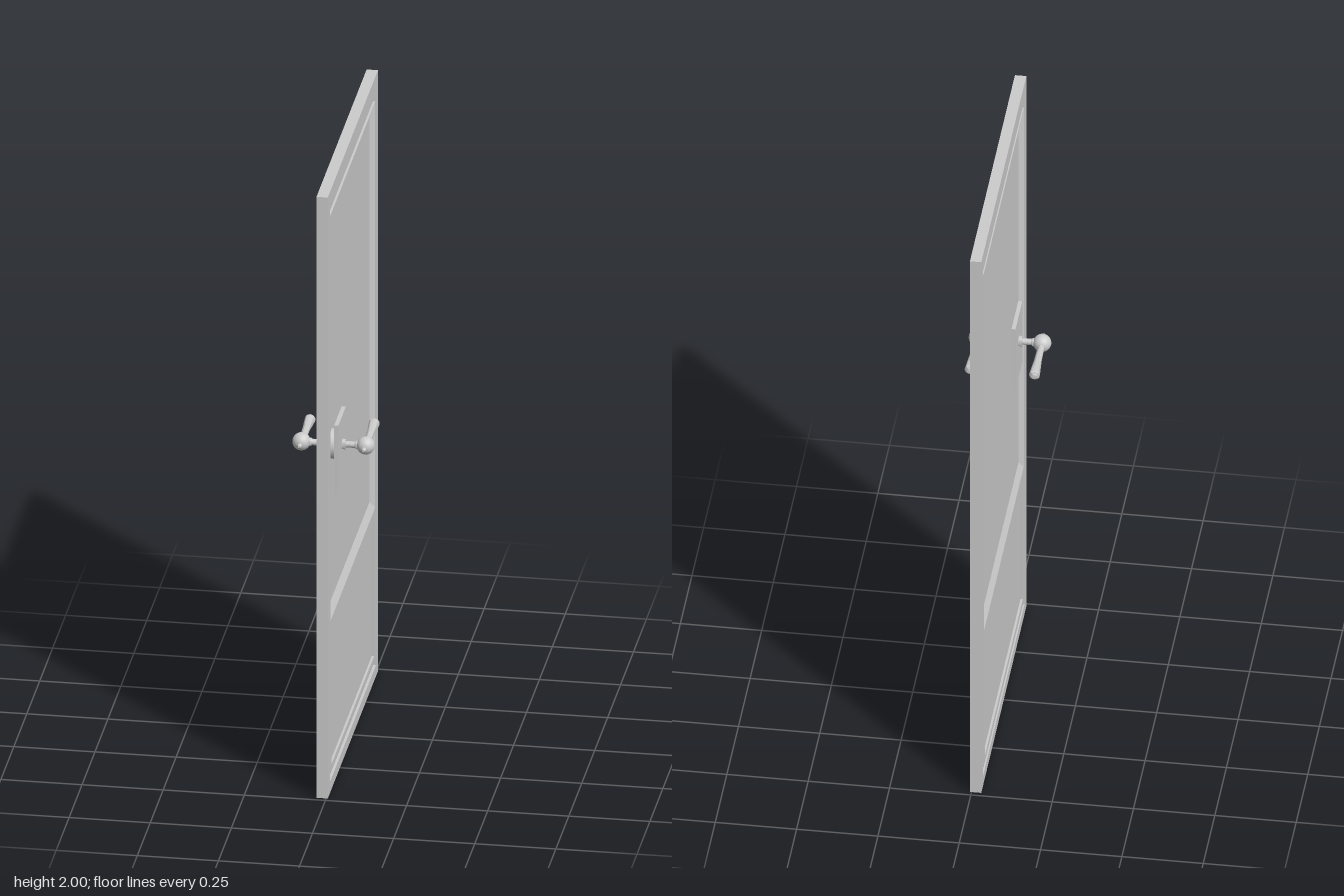
import * as THREE from 'three';
import { toCreasedNormals } from 'three/addons/utils/BufferGeometryUtils.js';

const grey = new THREE.MeshStandardMaterial({ color: 0xcccccc });
const MID = -0.0125;            // middle of the door thickness
const HALF = 0.0175;            // half thickness
const HANDLE = { x: -0.002, y: 1.114, z: 0.33 };

function add(parent, name, geometry, x = 0, y = 0, z = 0) {
  const mesh = new THREE.Mesh(geometry, grey);
  mesh.name = name;
  mesh.position.set(x, y, z);
  parent.add(mesh);
  return mesh;
}

// Skins nested rectangles [half width, bottom, top, depth] and caps the last one
function loftRects(rects, side) {
  const pos = [];
  const corners = ([w, y0, y1, d]) =>
    [[w, y0], [-w, y0], [-w, y1], [w, y1]].map(([z, y]) => [side * d, y, z]);
  const quad = (a, b, c, d) => {
    const tris = side > 0 ? [a, b, c, a, c, d] : [a, c, b, a, d, c];
    tris.forEach(p => pos.push(...p));
  };
  const rings = rects.map(corners);
  for (let r = 0; r < rings.length - 1; r++) {
    for (let i = 0; i < 4; i++) {
      const j = (i + 1) % 4;
      quad(rings[r][i], rings[r][j], rings[r + 1][j], rings[r + 1][i]);
    }
  }
  quad(...rings[rings.length - 1]);
  const g = new THREE.BufferGeometry();
  g.setAttribute('position', new THREE.Float32BufferAttribute(pos, 3));
  g.computeVertexNormals();
  return g;
}

function lathe(profile, segments = 20) {
  const points = profile.map(([r, y]) => new THREE.Vector2(r, y));
  return toCreasedNormals(new THREE.LatheGeometry(points, segments), 0.7);
}

// Outer frame with a rectangular opening
function buildFrame(door) {
  const shape = new THREE.Shape();
  shape.moveTo(-0.485, 0).lineTo(0.485, 0).lineTo(0.485, 2).lineTo(-0.485, 2).closePath();
  const hole = new THREE.Path();
  hole.moveTo(-0.446, 0.037).lineTo(-0.446, 1.938).lineTo(0.446, 1.938).lineTo(0.446, 0.037).closePath();
  shape.holes.push(hole);
  const g = new THREE.ExtrudeGeometry(shape, { depth: HALF * 2, bevelEnabled: false });
  g.rotateY(Math.PI / 2);
  add(door, 'doorFrame', g, MID - HALF);
}

// Door leaf: bevelled upper recess and stepped lower panel on both faces
function buildLeaf(door) {
  const leaf = new THREE.Group();
  leaf.name = 'doorLeaf';
  for (const side of [1, -1]) {
    const label = side > 0 ? 'Left' : 'Right';
    add(leaf, 'upperPanel' + label, loftRects([
      [0.435, 0.56, 1.918, 0],
      [0.435, 0.56, 1.918, HALF],
      [0.43, 0.568, 1.914, HALF],
      [0.408, 0.597, 1.895, 0.004],
    ], side), MID);
    add(leaf, 'lowerPanel' + label, loftRects([
      [0.435, 0.06, 0.56, 0],
      [0.435, 0.06, 0.56, HALF],
      [0.41, 0.083, 0.547, HALF],
      [0.41, 0.083, 0.547, HALF - 0.007],
    ], side), MID);
  }
  door.add(leaf);
}

// Lever handle, pointing out along +x
function buildHandle(name, side) {
  const handle = new THREE.Group();
  handle.name = name;
  add(handle, 'backPlate', new THREE.BoxGeometry(0.013, 0.228, 0.146), 0.0205, -0.02, 0.003);

  const rosette = new THREE.CylinderGeometry(0.047, 0.047, 0.02, 32).rotateZ(Math.PI / 2);
  add(handle, 'rosette', rosette, 0.005);

  const stem = lathe([
    [0.016, 0.02], [0.016, 0.038], [0.010, 0.038], [0.010, 0.066],
    [0.013, 0.070], [0.013, 0.080],
  ]).rotateZ(-Math.PI / 2);
  add(handle, 'stem', stem);

  add(handle, 'ball', new THREE.SphereGeometry(0.028, 24, 16), 0.099);

  // Tapered grip with a rounded tip
  const grip = lathe([
    [0.011, 0.02], [0.0105, 0.04], [0.012, 0.10], [0.0155, 0.148], [0.0165, 0.168],
    [0.0135, 0.171], [0.009, 0.173], [0.008, 0.178], [0, 0.181],
  ]).rotateX(-Math.PI / 2);
  add(handle, 'grip', grip, 0.099);

  // Small finial on the opposite side of the ball
  const finial = lathe([
    [0.005, 0.024], [0.005, 0.031], [0.007, 0.033], [0.007, 0.039], [0.004, 0.044], [0, 0.045],
  ], 16).rotateX(Math.PI / 2);
  add(handle, 'finial', finial, 0.099);

  // Turn the other one round and flip its lever back to the same direction
  if (side < 0) {
    handle.rotation.y = Math.PI;
    for (const part of handle.children) {
      if (part.name === 'grip' || part.name === 'finial') part.rotation.y = Math.PI;
      if (part.name === 'backPlate') part.position.z *= -1;
    }
  }
  handle.position.set(HANDLE.x, HANDLE.y, HANDLE.z);
  return handle;
}

export function createModel() {
  const door = new THREE.Group();
  door.name = 'door';
  buildFrame(door);
  buildLeaf(door);
  door.add(buildHandle('leftHandle', 1), buildHandle('rightHandle', -1));
  return door;
}
